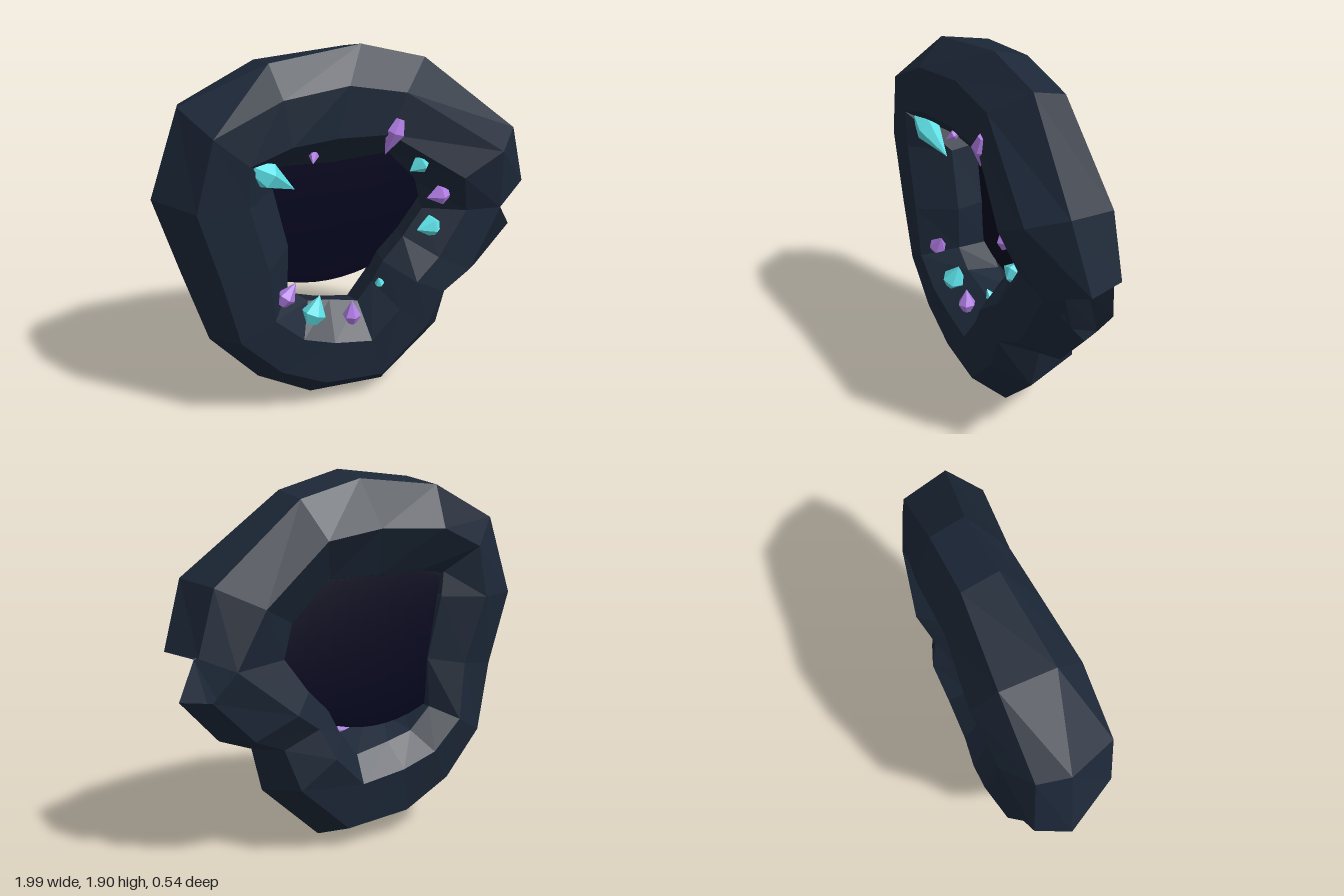
import * as THREE from 'three';

// The ring is an open shell, so its inside shows through the notch
const rock = new THREE.MeshStandardMaterial({
  name: 'slateRock', color: 0x1c2737, flatShading: true, side: THREE.DoubleSide,
});
const voidDark = new THREE.MeshStandardMaterial({ name: 'darkVoid', color: 0x05051e });
const cyan = new THREE.MeshStandardMaterial({ name: 'cyanCrystal', color: 0x5ce0e6, flatShading: true });
const purple = new THREE.MeshStandardMaterial({ name: 'purpleCrystal', color: 0xb07ce4, flatShading: true });

// Sections of the rock ring, counter-clockwise from the notch:
// outer x, y, z, inner x, y, front z, back z, sideways slide of the front
const SECTIONS = [
  [0.99, 1.07, 0.06, 0.39, 1.00, 0.19, -0.21, 0],
  [0.88, 1.40, 0.11, 0.36, 1.15, 0.27, -0.22, 0],
  [0.39, 1.80, 0.03, 0.19, 1.34, 0.19, -0.26, -0.11],
  [0.04, 1.90, 0.05, -0.10, 1.33, 0.21, -0.24, -0.08],
  [-0.44, 1.865, 0.11, -0.36, 1.35, 0.26, -0.27, 0],
  [-0.85, 1.68, 0.01, -0.48, 1.34, 0.27, -0.24, 0],
  [-1.00, 1.24, -0.02, -0.43, 1.24, 0.26, -0.27, 0],
  [-0.89, 0.84, 0.00, -0.36, 0.92, 0.26, -0.23, 0],
  [-0.78, 0.46, 0.03, -0.37, 0.68, 0.25, -0.26, 0],
  [-0.54, 0.19, 0.05, -0.26, 0.59, 0.24, -0.26, 0],
  [-0.25, 0.02, 0.05, -0.14, 0.57, 0.23, -0.24, 0],
  [0.17, 0.00, 0.05, 0.02, 0.53, 0.23, -0.24, -0.03],
  [0.49, 0.30, 0.07, 0.10, 0.63, 0.24, -0.26, -0.03],
  [0.55, 0.53, 0.06, 0.16, 0.74, 0.25, -0.21, 0],
  [0.73, 0.60, 0.05, 0.28, 0.86, 0.22, -0.26, 0],
  [0.93, 0.82, 0.05, 0.39, 1.00, 0.19, -0.21, 0],
];

// Seven points around one section, from the outer edge over the front
function sectionPoints([ox, oy, oz, ix, iy, zf, zb, slide], isEnd) {
  const at = (t, z, shift = 0) => [ox + (ix - ox) * t + shift, oy + (iy - oy) * t, z];
  // The section rolls a little from the bottom to the top of the ring
  const up = oy / 1.9, roll = (low, high) => low + (high - low) * up;
  const pts = [
    at(0, oz),
    at(0.27, zf * 0.95, slide), at(0.7, zf, slide), at(1, zf * 0.28),
    at(roll(0.87, 0.92), zb * 0.53), at(roll(0.64, 0.5), zb), at(roll(0.2, 0.08), zb * roll(0.85, 0.55)),
  ];
  if (isEnd) {
    // The two open ends meet everywhere but along the outer edge
    const joint = { 1: [0.79, 0.99], 2: [0.58, 1.01], 4: [0.45, 1.0], 5: [0.75, 0.99] };
    for (const j in joint) pts[j].splice(0, 2, ...joint[j]);
  }
  return pts;
}

function rockRing() {
  const n = SECTIONS.length, sides = 7;
  const positions = [], index = [];
  SECTIONS.forEach((s, i) => positions.push(...sectionPoints(s, i === 0 || i === n - 1).flat()));
  for (let i = 0; i < n - 1; i++) {
    for (let j = 0; j < sides; j++) {
      const k = (j + 1) % sides;
      const a = i * sides + j, b = a + sides, c = (i + 1) * sides + k, d = i * sides + k;
      index.push(a, b, c, a, c, d);
    }
  }
  const g = new THREE.BufferGeometry();
  g.setAttribute('position', new THREE.Float32BufferAttribute(positions, 3));
  g.setIndex(index);
  g.computeVertexNormals();
  const mesh = new THREE.Mesh(g, rock);
  mesh.name = 'rockRing';
  return mesh;
}

// Pointed crystal running from its root to its tip
function crystal(material, root, tip, radius) {
  const a = new THREE.Vector3(...root), dir = new THREE.Vector3(...tip).sub(a);
  const len = dir.length();
  const profile = [[0, 0], [radius * 0.5, 0], [radius, len * 0.35], [0, len]];
  const g = new THREE.LatheGeometry(profile.map(([x, y]) => new THREE.Vector2(x, y)), 6);
  const mesh = new THREE.Mesh(g, material);
  mesh.position.copy(a);
  mesh.quaternion.setFromUnitVectors(new THREE.Vector3(0, 1, 0), dir.normalize());
  mesh.name = material.name;
  return mesh;
}

export function createModel() {
  const model = new THREE.Group();
  model.name = 'crystalPortal';
  model.add(rockRing());

  // Thin lens of darkness filling the opening
  const lens = new THREE.Mesh(new THREE.SphereGeometry(1, 40, 24), voidDark);
  lens.scale.set(0.6, 0.45, 0.016);
  lens.position.set(-0.08, 1.04, -0.105);
  lens.name = 'voidLens';
  model.add(lens);

  // Crystals growing from the inner face of the ring
  const crystals = [
    [cyan, [-0.57, 1.415, 0.20], [-0.34, 1.25, 0.14], 0.068],
    [cyan, [0.35, 1.31, 0.16], [0.25, 1.27, 0.18], 0.048],
    [cyan, [0.46, 0.92, 0.11], [0.32, 0.92, 0.14], 0.06],
    [cyan, [-0.28, 0.51, 0.16], [-0.22, 0.65, 0.14], 0.064],
    [cyan, [0.13, 0.62, 0.11], [0.11, 0.68, 0.13], 0.026],
    [purple, [0.19, 1.55, 0.18], [0.12, 1.37, 0.165], 0.054],
    [purple, [-0.23, 1.42, 0.12], [-0.26, 1.38, 0.18], 0.025],
    [purple, [0.47, 1.12, 0.18], [0.35, 1.11, 0.18], 0.05],
    [purple, [-0.44, 0.66, 0.18], [-0.36, 0.77, 0.18], 0.048],
    [purple, [-0.055, 0.47, 0.17], [-0.055, 0.60, 0.17], 0.048],
  ];
  for (const c of crystals) model.add(crystal(...c));
  return model;
}
